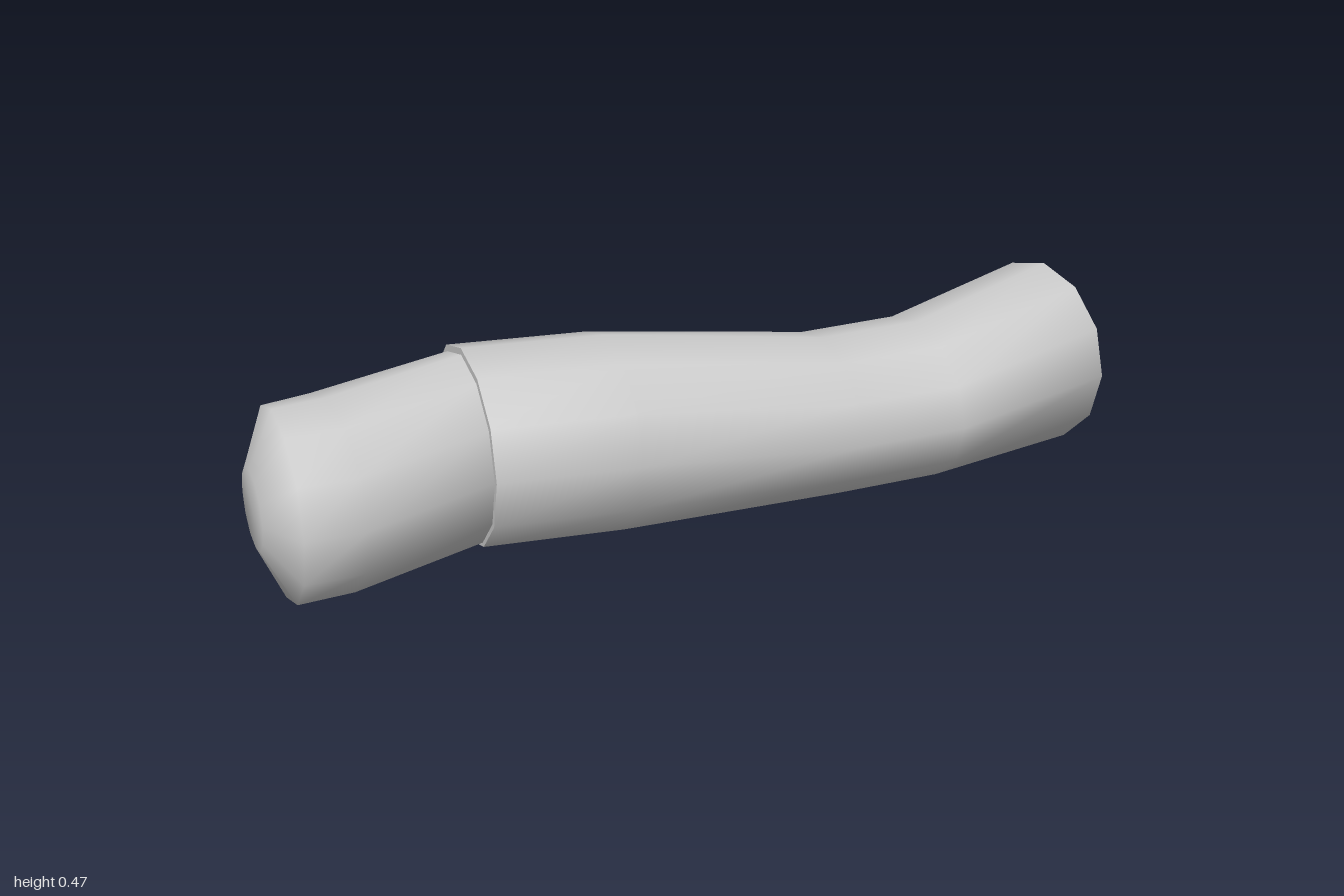
import * as THREE from 'three';

const SIDES = 12;
const material = new THREE.MeshStandardMaterial({ color: 0xcccccc });

// Ring: back point (x, z), front point (x, z), bottom y, top y
const shrink = ([xb, zb, xf, zf, y0, y1], s) => {
  const x = (xb + xf) / 2, z = (zb + zf) / 2, y = (y0 + y1) / 2;
  return [x + (xb - x) * s, z + (zb - z) * s, x + (xf - x) * s, z + (zf - z) * s, y + (y0 - y) * s, y + (y1 - y) * s];
};

// Smooth skin through tilted rings listed along +x
function skin(name, rings) {
  const pos = [], index = [];
  rings.forEach(([xb, zb, xf, zf, y0, y1], r) => {
    for (let i = 0; i < SIDES; i++) {
      const a = (i / SIDES) * Math.PI * 2, s = Math.sin(a), c = Math.cos(a);
      pos.push((xb + xf) / 2 + s * (xf - xb) / 2, (y0 + y1) / 2 + c * (y1 - y0) / 2, (zb + zf) / 2 + s * (zf - zb) / 2);
      if (r === rings.length - 1) continue;
      const p = r * SIDES + i, q = r * SIDES + (i + 1) % SIDES;
      index.push(p, q, p + SIDES, q, q + SIDES, p + SIDES);
    }
  });
  const g = new THREE.BufferGeometry();
  g.setAttribute('position', new THREE.Float32BufferAttribute(pos, 3));
  g.setIndex(index);
  g.computeVertexNormals();
  const mesh = new THREE.Mesh(g, material);
  mesh.name = name;
  return mesh;
}

export function createModel() {
  const group = new THREE.Group();
  group.name = 'bentTube';

  // Short rounded end section
  const tip = [-0.985, -0.115, -1.0, 0.085, 0.125, 0.305];
  group.add(skin('roundedEnd', [
    shrink(tip, 0), tip,
    [-0.93, -0.2, -0.95, 0.205, 0.003, 0.437],
    [-0.83, -0.215, -0.82, 0.225, 0.01, 0.442],
    [-0.48, -0.272, -0.515, 0.157, 0.028, 0.46],
  ]));

  // Long curved section with a closed far end
  const seam = [-0.48, -0.284, -0.515, 0.168, 0.018, 0.475];
  const end = [0.95, -0.18, 1.0, 0.262, 0.035, 0.477];
  group.add(skin('longSection', [
    seam,
    [-0.17, -0.226, -0.2, 0.228, 0.018, 0.473],
    [0.38, -0.185, 0.33, 0.266, 0.018, 0.389],
    [0.62, -0.183, 0.6, 0.278, 0.016, 0.389],
    end, shrink(end, 0.5), shrink(end, 0),
  ]));

  // Flat lip where the two sections meet
  group.add(skin('seamLip', [shrink(seam, 0), seam]));
  return group;
}
